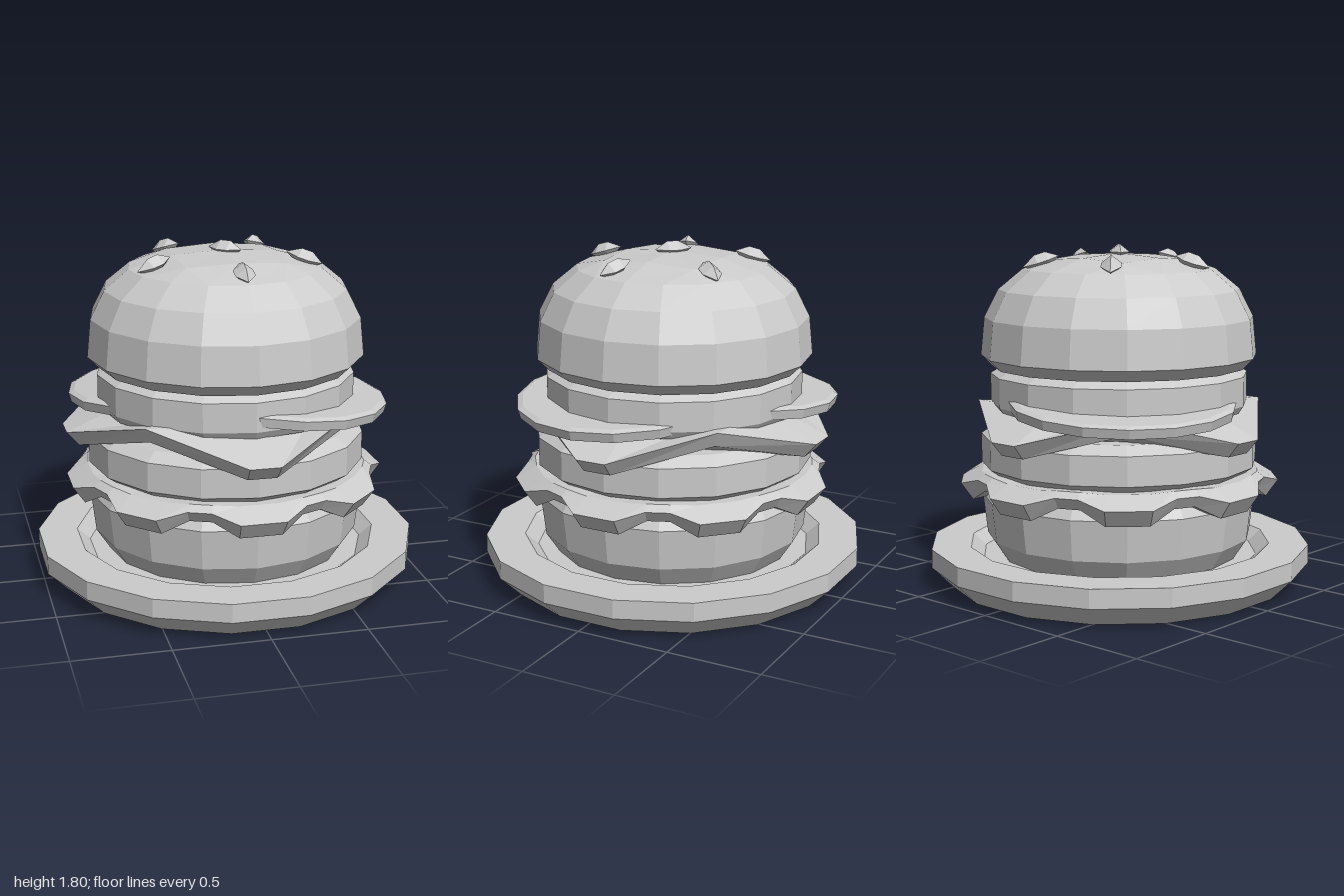
import * as THREE from 'three';

const material = new THREE.MeshStandardMaterial({ color: 0xcccccc, flatShading: true });
const SIDES = 16;

function part(name, geometry, parent) {
  const mesh = new THREE.Mesh(geometry, material);
  mesh.name = name;
  parent.add(mesh);
  return mesh;
}

// Turned solid from [radius, height] pairs, listed from the bottom up
function lathe(profile, sides = SIDES) {
  return new THREE.LatheGeometry(profile.map(([r, y]) => new THREE.Vector2(r, y)), sides);
}

// Skin over closed rings of [x, y, z] points, listed from the bottom up
function loft(rings) {
  const n = rings[0].length;
  const index = [];
  for (let k = 0; k < rings.length - 1; k++) {
    for (let i = 0; i < n; i++) {
      const a = k * n + i, b = k * n + (i + 1) % n;
      index.push(a, b, b + n, a, b + n, a + n);
    }
  }
  const geometry = new THREE.BufferGeometry();
  geometry.setAttribute('position', new THREE.Float32BufferAttribute(rings.flat(2), 3));
  geometry.setIndex(index);
  geometry.computeVertexNormals();
  return geometry;
}

const polar = (r, y, a) => [r * Math.sin(a), y, r * Math.cos(a)];
const deg = THREE.MathUtils.degToRad;

// Round sides that close in a four-by-four grid of quads on top
function crownGeometry() {
  const profile = [[0, 1.16], [0.675, 1.16], [0.735, 1.22], [0.715, 1.42], [0.64, 1.567], [0.51, 1.674]];
  const rings = profile.map(([r, y]) =>
    Array.from({ length: SIDES }, (_, i) => polar(r, y, i * Math.PI / 8)));
  rings.push(Array.from({ length: SIDES }, (_, i) => {
    const onAxis = i % 4 === 0;
    const angle = onAxis ? i * Math.PI / 8 : (Math.floor(i / 4) + 0.5) * Math.PI / 2;
    return onAxis ? polar(0.28, 1.738, angle) : polar(0.37, 1.722, angle);
  }));
  rings.push(Array.from({ length: SIDES }, () => [0, 1.755, 0]));
  return loft(rings);
}

// Square slice turned 45 degrees: clipped corners droop, edge middles stay high
function cheeseGeometry() {
  const ring = (cornerR, cornerY, midR, midY, half) => {
    const points = [];
    for (let q = 0; q < 4; q++) {
      const a = q * Math.PI / 2, t = Math.atan2(half, cornerR);
      const r = Math.hypot(half, cornerR);
      points.push(polar(r, cornerY, a - t), polar(r, cornerY, a + t), polar(midR, midY, a + Math.PI / 4));
    }
    return points;
  };
  return loft([
    ring(0, 0.83, 0, 0.83, 0),
    ring(0.64, 0.845, 0.6, 0.85, 0.07),
    ring(0.80, 0.77, 0.71, 0.9, 0.075),
    ring(0.865, 0.845, 0.75, 0.98, 0.08),
    ring(0.55, 0.975, 0.55, 0.975, 0.05),
    ring(0, 0.975, 0, 0.975, 0),
  ]);
}

// Wavy leaf: eight broad drooping lobes with raised folds between them
function lettuceGeometry() {
  const low = [[0.6, 0.5], [0.79, 0.46], [0.853, 0.55], [0.74, 0.61], [0.5, 0.61]];
  const high = [[0.6, 0.52], [0.75, 0.53], [0.79, 0.59], [0.75, 0.62], [0.5, 0.61]];
  return loft(low.map((_, k) => {
    const points = [];
    for (let lobe = 0; lobe < 8; lobe++) {
      for (const [offset, shape] of [[-8, low], [8, low], [18, high], [27, high]]) {
        points.push(polar(...shape[k], deg(lobe * 45 + offset)));
      }
    }
    return points;
  }));
}

export function createModel() {
  const model = new THREE.Group();
  model.name = 'burger';

  // Dish with a bevelled foot and a shallow well
  part('plate', lathe([[0, 0], [0.908, 0], [1.02, 0.11], [1.02, 0.21],
    [0.81, 0.21], [0.74, 0.15], [0, 0.15]]).rotateY(Math.PI / 16), model);

  // Stacked round layers
  part('bottomBun', lathe([[0, 0.15], [0.64, 0.15], [0.71, 0.257], [0.735, 0.47], [0.68, 0.56], [0, 0.56]]), model);
  part('lettuce', lettuceGeometry(), model);
  part('lowerPatty', lathe([[0, 0.6], [0.67, 0.6], [0.738, 0.647], [0.738, 0.8], [0.67, 0.845], [0, 0.845]]), model);
  part('cheese', cheeseGeometry(), model);
  part('upperPatty', lathe([[0, 0.93], [0.66, 0.93], [0.685, 0.97], [0.685, 1.123], [0.62, 1.163], [0, 1.163]]), model);
  part('topBun', crownGeometry(), model);

  // Two tomato slices tipping outwards
  const sliceGeometry = lathe([[0, -0.037], [0.5, -0.037], [0.58, -0.025], [0.59, 0.025], [0.56, 0.037], [0, 0.037]]);
  const slices = [[0.24, 1.005, 0.14, 0.015, -0.1], [-0.22, 0.985, -0.22, -0.05, 0.07]];
  for (const [x, y, z, tiltX, tiltZ] of slices) {
    const slice = part('tomatoSlice', sliceGeometry, model);
    slice.position.set(x, y, z);
    slice.rotation.set(tiltX, 0, tiltZ);
  }

  // Seeds lie on the crown: x, y, z and the heading of the long axis
  const seeds = new THREE.Group();
  seeds.name = 'seeds';
  model.add(seeds);
  const seedGeometry = lathe([[0, -0.1], [0.052, -0.025], [0.052, 0.035], [0, 0.1]], 4)
    .rotateX(Math.PI / 2).scale(1, 0.8, 1);
  const up = new THREE.Vector3(0, 1, 0);
  const places = [
    [0, 1.762, 0, 47], [-0.25, 1.715, -0.34, 39], [0.245, 1.715, -0.34, -39],
    [-0.4, 1.718, 0.12, 108], [0.395, 1.718, 0.12, 65], [0, 1.718, 0.41, 0],
  ];
  for (const [x, y, z, heading] of places) {
    const seed = part('seed', seedGeometry, seeds);
    seed.position.set(x, y, z);
    const normal = new THREE.Vector3(x * 0.75, 1, z * 0.75).normalize();
    seed.quaternion.setFromUnitVectors(up, normal)
      .multiply(new THREE.Quaternion().setFromAxisAngle(up, deg(heading)));
  }
  return model;
}
